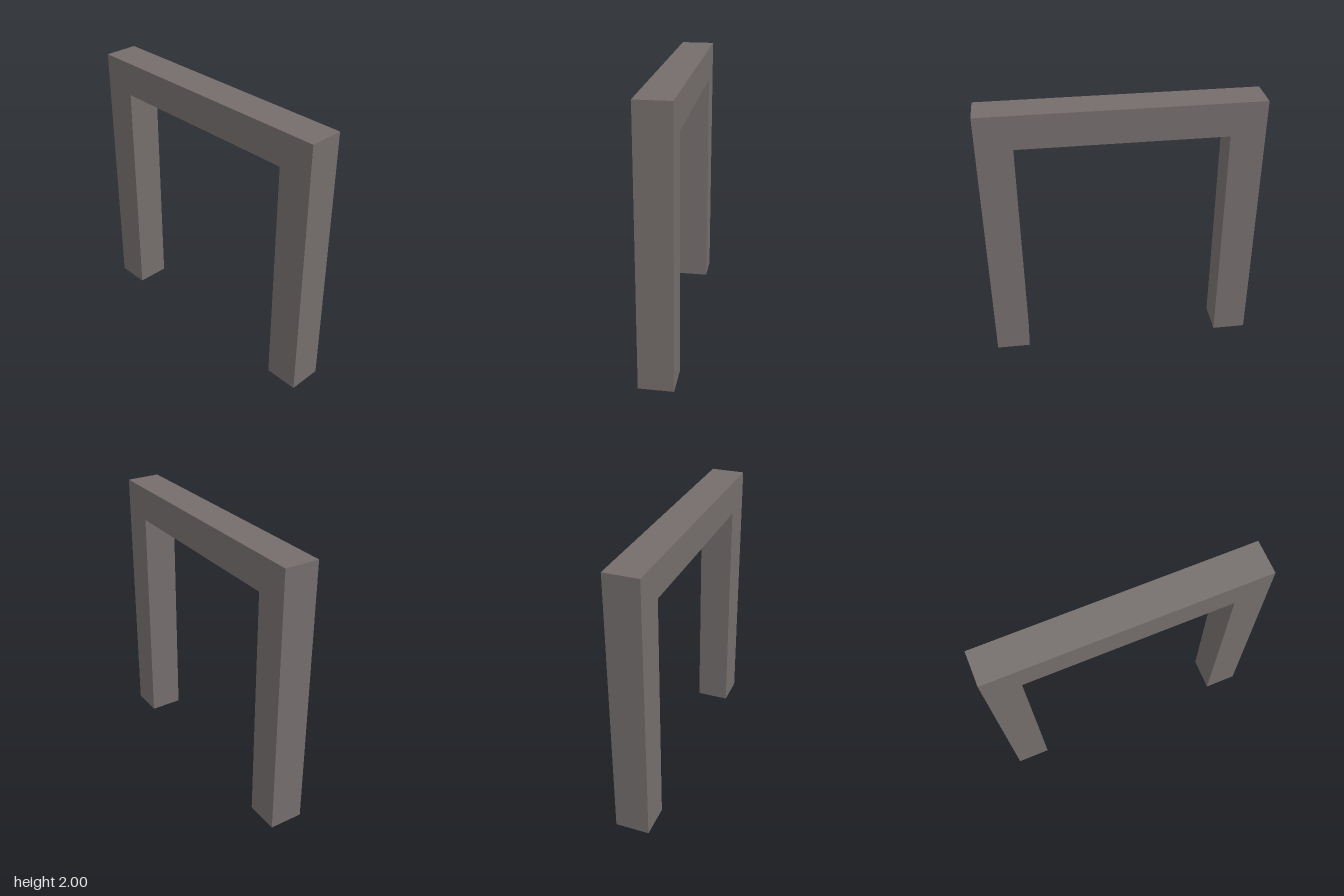
import * as THREE from 'three';

export function createModel() {
  const group = new THREE.Group();
  const darkStone = new THREE.MeshStandardMaterial({ color: 0x746d6c });
  darkStone.name = 'darkStone';

  const half = 1, height = 2, thick = 0.25;
  const inner = half - thick;

  // Square-section portal: two posts joined by a lintel, one continuous outline
  const outline = new THREE.Shape([
    [-half, 0], [-inner, 0], [-inner, height - thick], [inner, height - thick],
    [inner, 0], [half, 0], [half, height], [-half, height],
  ].map(([x, y]) => new THREE.Vector2(x, y)));

  const geometry = new THREE.ExtrudeGeometry(outline, { depth: thick, bevelEnabled: false });
  geometry.translate(0, 0, -thick / 2);
  geometry.rotateY(Math.PI / 2); // span runs front to back

  const frame = new THREE.Mesh(geometry, darkStone);
  frame.name = 'archFrame';
  group.add(frame);
  return group;
}
